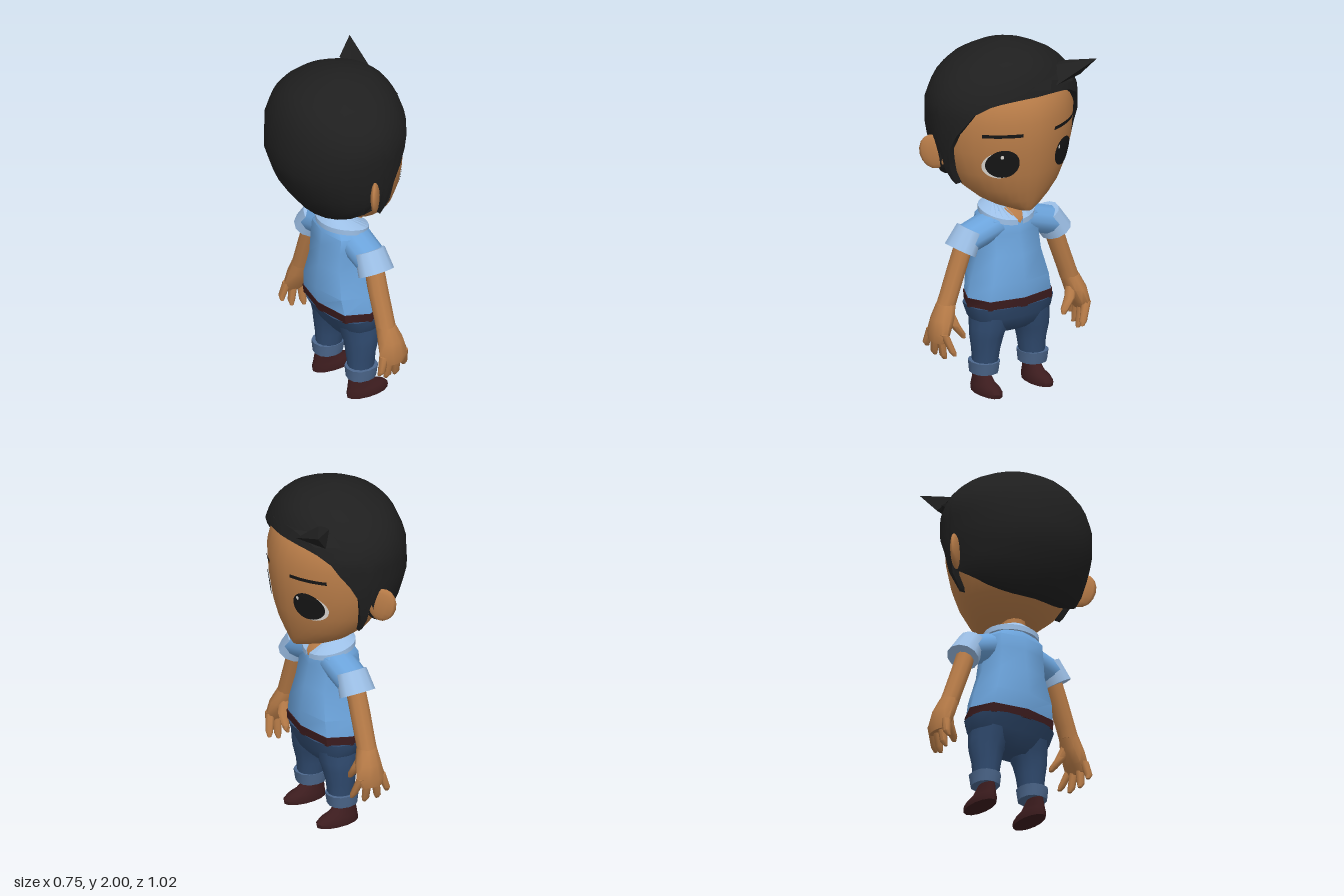
import * as THREE from 'three';
import { toCreasedNormals } from 'three/addons/utils/BufferGeometryUtils.js';
import { ConvexGeometry } from 'three/addons/geometries/ConvexGeometry.js';

const mat = (name, color) => Object.assign(new THREE.MeshStandardMaterial({ color }), { name });
const skin = mat('skin', 0xb87c48), hairMat = mat('hair', 0x1f1f1f), shirtMat = mat('shirt', 0x6ca4dc);
const trim = mat('shirt trim', 0x9cbfe6), denim = mat('denim', 0x304b70), turnup = mat('turned denim', 0x4c678c);
const leather = mat('leather', 0x3c1c1e), ink = mat('eye black', 0x161616), white = mat('eye white', 0xe2ded8);

// Skins a list of equal-length point loops; optional caps at both ends.
function loft(rings, caps = true, crease = 0.9) {
  const n = rings[0].length, pos = rings.flat(2), idx = [];
  for (let i = 0; i < rings.length - 1; i++) for (let j = 0; j < n; j++) {
    const k = (j + 1) % n, a = i * n, b = a + n;
    idx.push(a + j, a + k, b + k, a + j, b + k, b + j);
  }
  if (caps) [0, rings.length - 1].forEach((r, end) => {
    const c = pos.length / 3;
    for (let d = 0; d < 3; d++) pos.push(rings[r].reduce((sum, p) => sum + p[d], 0) / n);
    for (let j = 0; j < n; j++) {
      const p = r * n + j, q = r * n + (j + 1) % n;
      idx.push(c, end ? p : q, end ? q : p);
    }
  });
  const g = new THREE.BufferGeometry();
  g.setAttribute('position', new THREE.Float32BufferAttribute(pos, 3));
  g.setIndex(idx);
  return toCreasedNormals(g, crease);
}

// A row is [y, halfWidth, zBack, zFront, centreX]; e is the super-ellipse power.
function onOval([y, w, zb, zf, cx = 0], phi, e = 2) {
  const p = (v) => Math.sign(v) * Math.abs(v) ** (2 / e);
  return [cx + w * p(Math.sin(phi)), y, (zb + zf) / 2 + (zf - zb) / 2 * p(Math.cos(phi))];
}
const body = (rows, seg = 12, e = 2, crease = 0.9) => loft(rows.map((r) =>
  Array.from({ length: seg }, (_, j) => onOval(r, j / seg * Math.PI * 2, e))), true, crease);

// Linear interpolation in a table sorted by its first column.
function sample(rows, v) {
  let i = 0;
  while (i < rows.length - 2 && v > rows[i + 1][0]) i++;
  const t = THREE.MathUtils.clamp((v - rows[i][0]) / (rows[i + 1][0] - rows[i][0]), 0, 1);
  return rows[i].map((a, k) => a + (rows[i + 1][k] - a) * t);
}

// Lays a flat geometry onto the front of a body made from rows.
function project(g, rows, lift, e) {
  const p = g.attributes.position;
  for (let i = 0; i < p.count; i++) {
    const r = sample(rows, p.getY(i));
    const u = Math.min(1, Math.abs(p.getX(i)) / r[1]);
    p.setZ(i, onOval(r, Math.asin(u ** (e / 2)), e)[2] + lift);
  }
  g.computeVertexNormals();
  return g;
}

// Tapered cylinder from a down to b in the x-y plane, stretched in z.
function sleevePart(a, b, r0, r1, s) {
  const dx = b[0] - a[0], dy = b[1] - a[1];
  return new THREE.CylinderGeometry(r0, r1, Math.hypot(dx, dy), 12).scale(1, 1, 1.2)
    .rotateZ(s * Math.atan2(dx, -dy)).translate(s * (a[0] + b[0]) / 2, (a[1] + b[1]) / 2, 0.055);
}
const hull = (points) => new ConvexGeometry(points.map((p) => new THREE.Vector3(...p)));

const FACE = 1.78, BOXY = 2.6; // plan shapes: wedge-like face, box-like torso
const headRows = [[1.08, 0.06, 0.06, 0.27], [1.11, 0.14, -0.02, 0.285], [1.15, 0.21, -0.1, 0.3],
  [1.22, 0.29, -0.19, 0.325], [1.32, 0.35, -0.26, 0.35], [1.45, 0.395, -0.32, 0.366], [1.62, 0.41, -0.34, 0.375],
  [1.74, 0.385, -0.3, 0.34], [1.85, 0.28, -0.22, 0.24], [1.93, 0.1, -0.1, 0.1]];
const hairRows = [[1.15, 0.29, -0.18, 0.24], [1.22, 0.33, -0.22, 0.26], [1.33, 0.4, -0.31, 0.33],
  [1.52, 0.435, -0.38, 0.38], [1.7, 0.44, -0.368, 0.365], [1.8, 0.4, -0.335, 0.34], [1.89, 0.315, -0.28, 0.3],
  [1.965, 0.18, -0.15, 0.215], [1.99, 0.08, -0.06, 0.1], [2, 0, 0.01, 0.01]];
// Hairline height by angle from the face centre, in degrees.
const hairline = [[0, 1.765], [10, 1.765], [20, 1.76], [30, 1.75], [38, 1.735], [50, 1.69], [57, 1.63], [66, 1.56],
  [74, 1.47], [77, 1.35], [81, 1.24], [84, 1.26], [87, 1.44], [89, 1.4], [91, 1.33], [105, 1.285], [120, 1.245],
  [135, 1.22], [150, 1.205], [165, 1.2], [180, 1.2]];
const torsoRows = [[0.55, 0.262, -0.115, 0.22], [0.65, 0.24, -0.13, 0.225], [0.8, 0.19, -0.112, 0.2],
  [0.92, 0.185, -0.1, 0.172], [1, 0.185, -0.09, 0.165], [1.04, 0.13, -0.07, 0.13], [1.07, 0.08, -0.05, 0.1]];

// Level rows down to the brow, then rows that fan out to the hairline; the first ring folds inwards.
function hairGeometry() {
  const cols = [...hairline, ...hairline.slice(1, -1).reverse().map(([a, y]) => [360 - a, y])];
  const ring = (t, inset) => cols.map(([a, y0]) => {
    const y = t < 1 ? 2 - 0.235 * t ** 1.6 : 1.765 + (y0 - 1.765) * (t - 1);
    const r = sample(hairRows, y), p = onOval(r, a * Math.PI / 180), zc = (r[2] + r[3]) / 2;
    return [p[0] * inset - 0.006, p[1], zc + (p[2] - zc) * inset];
  });
  const rings = [ring(2, 0.86)];
  for (let i = 14; i >= 0; i--) rings.push(ring(i / 7, 1));
  return loft(rings, false, 1.2);
}

// Folded collar whose outer edge meets at the front while the inner edge opens in a V.
function collarGeometry() {
  const rings = [];
  for (let i = 0; i <= 24; i++) {
    const a = (i / 12 - 1) * Math.PI, out = Math.PI + a * 0.967, inn = Math.PI + a * 0.75;
    const f = (1 + Math.cos(out)) / 2, top = 1.095 - 0.015 * f, low = 1.062 - 0.062 * f ** 2;
    const inner = (y) => [0.085 * Math.sin(inn), y, 0.03 + 0.085 * Math.cos(inn)];
    const outer = (y) => [0.165 * Math.sin(out), y, 0.042 + 0.138 * Math.cos(out)];
    rings.push([inner(top), outer(low), outer(low - 0.03), inner(top - 0.05)]);
  }
  return loft(rings, true, 0.6);
}

export function createModel() {
  const root = new THREE.Group(), figure = new THREE.Group();
  figure.name = 'figure';
  figure.rotation.y = Math.PI / 2; // the face looks along +x
  root.add(figure);
  const add = (name, g, m) => {
    const mesh = new THREE.Mesh(g, m);
    mesh.name = name;
    figure.add(mesh);
  };

  // Head and hair
  add('head', body(headRows, 32, FACE), skin);
  add('neck', body([[1.0, 0.075, -0.05, 0.095], [1.2, 0.07, -0.05, 0.085]]), skin);
  add('hair', hairGeometry(), hairMat);
  add('forelock', hull([[-0.14, 1.812, 0.318], [0.08, 1.79, 0.355], [0.1, 1.84, 0.335], [0.28, 1.855, 0.2],
    [0.36, 1.8, 0.19], [0.26, 1.79, 0.3]]), hairMat);
  add('forelockTip', hull([[0.13, 1.805, 0.34], [0.16, 1.87, 0.21], [0.27, 1.882, 0.21], [0.33, 1.805, 0.27],
    [0.385, 1.912, 0.355]]), hairMat);

  // Torso
  add('shirt', body(torsoRows, 8, BOXY, 1), shirtMat);
  add('collar', collarGeometry(), trim);
  const vNeck = new THREE.PlaneGeometry(0.16, 0.095, 4, 4).translate(0, 1.0275, 0), vp = vNeck.attributes.position;
  for (let i = 0; i < vp.count; i++) vp.setX(i, vp.getX(i) * (vp.getY(i) - 0.975) / 0.1);
  add('neckOpening', project(vNeck, torsoRows, 0.009, 2), skin);
  add('belt', body([[0.505, 0.265, -0.112, 0.222], [0.557, 0.267, -0.12, 0.226]], 8, BOXY), leather);
  add('hips', body([[0.35, 0.12, -0.01, 0.14], [0.38, 0.2, -0.035, 0.172], [0.44, 0.247, -0.07, 0.198],
    [0.51, 0.262, -0.11, 0.22]], 16, BOXY, 1.1), denim);

  for (const s of [1, -1]) {
    const side = s > 0 ? 'left' : 'right';
    const part = (name, g, m) => add(side + name, g, m);
    const limb = (name, rows, m, seg = 10, e = 2) =>
      part(name, body(rows.map(([y, w, zb, zf, cx]) => [y, w, zb, zf, cx * s]), seg, e), m);

    // Eye, brow and ear
    const disc = (x, y, rx, ry, lift) =>
      project(new THREE.RingGeometry(0.001, 1, 28, 5).scale(rx, ry, 1).translate(x, y, 0), headRows, lift, FACE);
    part('EyeWhite', disc(s * 0.208, 1.392, 0.08, 0.08, 0.004), white);
    part('Iris', disc(s * 0.196, 1.4, 0.08, 0.083, 0.007), ink);
    part('EyeGlint', disc(s * 0.177 - 0.029, 1.442, 0.008, 0.012, 0.009), white);
    part('Brow', project(new THREE.PlaneGeometry(0.195, 0.02, 8, 1).translate(s * 0.2, 1.565, 0),
      headRows, 0.007, FACE), ink);
    part('Ear', new THREE.SphereGeometry(1, 10, 8).scale(0.078, 0.1, 0.024).rotateZ(-s * 0.25)
      .rotateY(s * 0.72).translate(s * 0.43, 1.42, -0.033), skin);

    // Sleeve, arm and hand
    part('Sleeve', sleevePart([0.09, 0.962], [0.285, 0.9], 0.083, 0.08, s), shirtMat);
    part('SleeveCuff', sleevePart([0.25, 0.957], [0.313, 0.847], 0.074, 0.088, s), trim);
    limb('Arm', [[0.54, 0.055, -0.003, 0.11, 0.41], [0.6, 0.053, -0.003, 0.11, 0.388], [0.75, 0.054, -0.005, 0.11, 0.333],
      [0.9, 0.055, 0, 0.11, 0.28]], skin);
    limb('Palm', [[0.355, 0.03, -0.005, 0.13, 0.475], [0.4, 0.046, -0.025, 0.155, 0.464], [0.48, 0.062, -0.012, 0.14, 0.437],
      [0.56, 0.055, -0.002, 0.11, 0.405]], skin);
    // Fingers: tip height, tip z, base z
    [[0.3, -0.032, 0], [0.262, 0.02, 0.042], [0.252, 0.09, 0.085], [0.285, 0.16, 0.128]].forEach(([y, zt, z], i) => {
      const x = 0.487 - 0.017 * i, row = (h, r, c, cx) => [h, r, c - r, c + r, cx];
      limb('Finger' + (i + 1), [row(y, 0.011, zt, x - 0.015), row(y + 0.025, 0.021, zt + (z - zt) * 0.2, x - 0.005),
        row(0.41, 0.026, z, 0.468)], skin, 8);
    });
    limb('Thumb', [[0.358, 0.012, 0.1, 0.125, 0.33], [0.382, 0.023, 0.085, 0.13, 0.34], [0.44, 0.03, 0.065, 0.13, 0.38],
      [0.51, 0.034, 0.045, 0.105, 0.405]], skin, 8);

    // Leg and shoe
    limb('TrouserLeg', [[0.15, 0.068, -0.012, 0.135, 0.155], [0.25, 0.08, -0.02, 0.145, 0.15],
      [0.33, 0.096, -0.03, 0.165, 0.147], [0.38, 0.11, -0.04, 0.177, 0.134], [0.46, 0.115, -0.065, 0.19, 0.125]], denim, 12);
    limb('TurnUp', [[0.112, 0.075, -0.025, 0.14, 0.16], [0.18, 0.082, -0.032, 0.152, 0.16]], turnup, 12, 2.3);
    limb('Shoe', [[0, 0.06, -0.035, 0.222, 0.167], [0.022, 0.062, -0.037, 0.226, 0.167], [0.048, 0.052, -0.033, 0.2, 0.166],
      [0.065, 0.045, -0.03, 0.15, 0.165], [0.12, 0.036, -0.02, 0.09, 0.163]], leather, 14);
  }
  return root;
}
